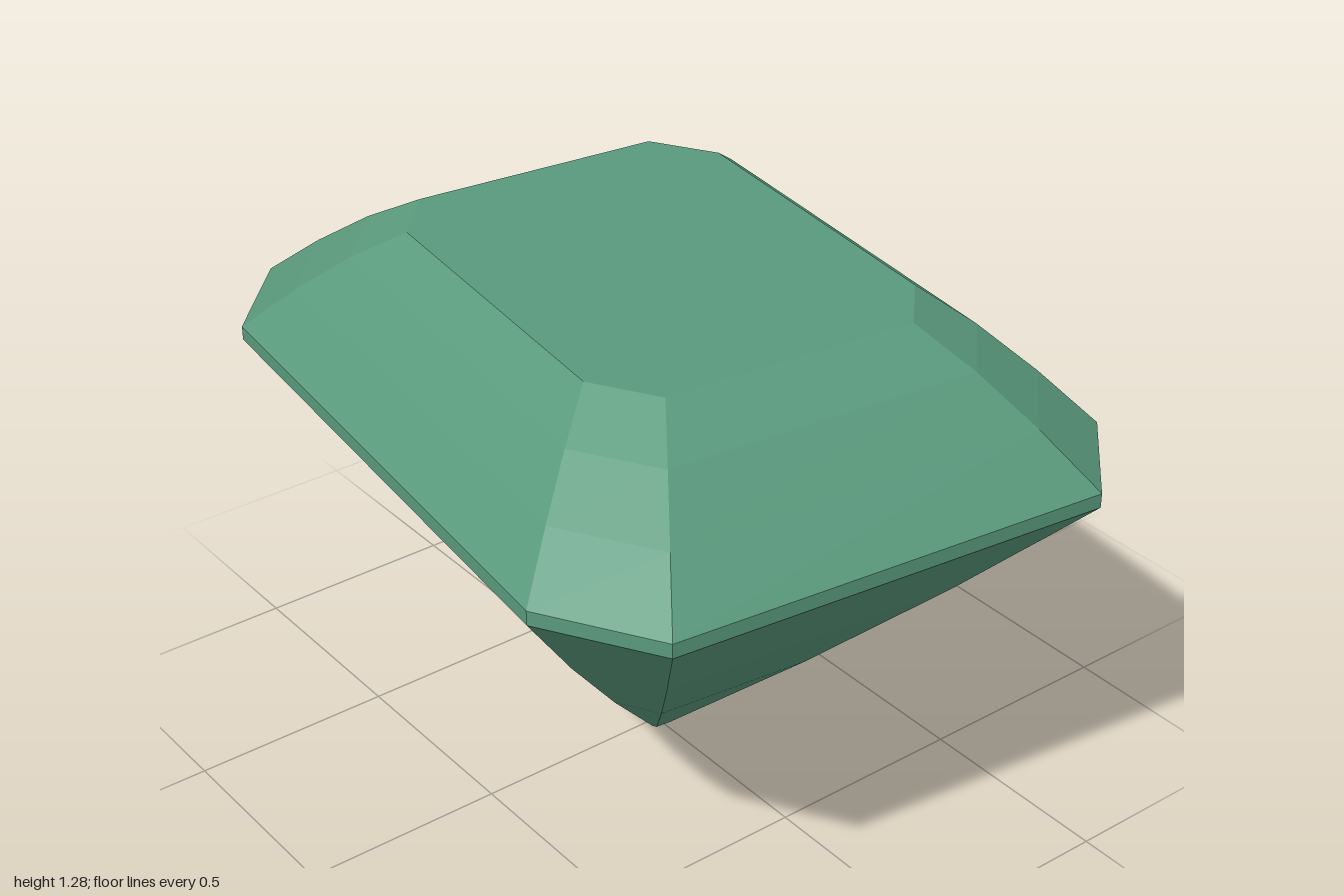
import * as THREE from 'three';

// Half of the eight-sided outline (x, z); the other half is its 180 degree turn
const half = [[0.43, 1.0], [0.64, 0.78], [0.8, -0.61], [0.64, -0.88]];
const outline = [...half, ...half.map(([x, z]) => [-x, -z])];

const ring = ([scale, y]) => outline.map(([x, z]) => [x * scale, y, z * scale]);

function facets(name, triangles, material) {
  const geometry = new THREE.BufferGeometry();
  geometry.setAttribute('position', new THREE.Float32BufferAttribute(triangles.flat(2), 3));
  geometry.computeVertexNormals(); // unshared corners keep every facet flat
  const mesh = new THREE.Mesh(geometry, material);
  mesh.name = name;
  return mesh;
}

// Facets between successive [scale, height] levels, lowest first
function band(name, levels, material) {
  const triangles = [];
  for (let k = 0; k < levels.length - 1; k++) {
    const low = ring(levels[k]);
    const high = ring(levels[k + 1]);
    for (let i = 0; i < 8; i++) {
      const j = (i + 1) % 8;
      triangles.push([low[i], low[j], high[j]], [low[i], high[j], high[i]]);
    }
  }
  return facets(name, triangles, material);
}

// Flat end face, looking up or down
function cap(name, level, up, material) {
  const points = ring(level);
  const centre = [0, level[1], 0];
  const triangles = points.map((p, i) => {
    const q = points[(i + 1) % 8];
    return up ? [centre, p, q] : [centre, q, p];
  });
  return facets(name, triangles, material);
}

export function createModel() {
  const gem = new THREE.Group();
  gem.name = 'cutGem';
  const green = new THREE.MeshStandardMaterial({ color: 0x5a9a7d, flatShading: true });
  green.name = 'gemGreen';

  const culet = [0.035, 0];
  const girdleLow = [1, 0.95];
  const girdleHigh = [1, 0.985];
  const table = [0.58, 1.28];

  gem.add(
    cap('culet', culet, false, green),
    band('pavilion', [culet, [0.37, 0.31], [0.7, 0.635], girdleLow], green),
    band('girdle', [girdleLow, girdleHigh], green),
    // three steps that flatten toward the table
    band('crown', [girdleHigh, [0.86, 1.1], [0.72, 1.2], table], green),
    cap('table', table, true, green),
  );
  return gem;
}
